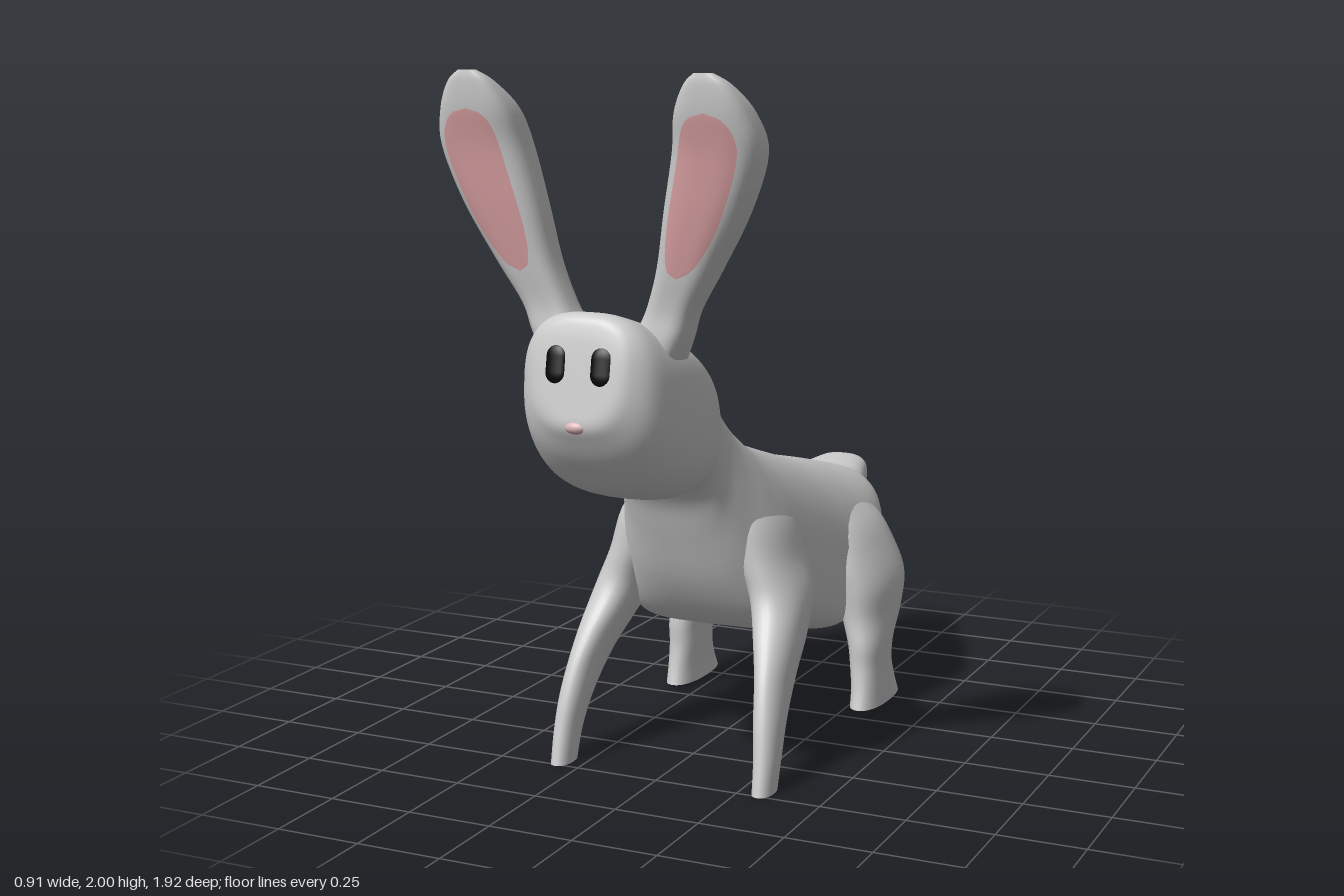
import * as THREE from 'three';

const grey = new THREE.MeshStandardMaterial({ color: 0xcccccc });
const pink = new THREE.MeshStandardMaterial({ color: 0xd9a0a2, side: THREE.DoubleSide });
const nosePink = new THREE.MeshStandardMaterial({ color: 0xd8b4b4 });
const black = new THREE.MeshStandardMaterial({ color: 0x050505 });

// Smooth interpolation between cross-section rows, t from 0 to 1
function rowAt(rows, t) {
  const f = t * (rows.length - 1), i = Math.min(Math.floor(f), rows.length - 2), u = f - i;
  const at = k => rows[Math.max(0, Math.min(rows.length - 1, k))];
  return rows[0].map((_, k) => {
    const a = at(i - 1)[k], b = at(i)[k], c = at(i + 1)[k], d = at(i + 2)[k];
    return b + 0.5 * u * (c - a + u * (2 * a - 5 * b + 4 * c - d + u * (3 * (b - c) + d - a)));
  });
}

const power = (v, n) => Math.sign(v) * Math.abs(v) ** (2 / n);

// Skin closed rings; place(row, cos, sin) puts a ring point in space
function loft(rows, place, sides = 40, steps = 5) {
  const count = (rows.length - 1) * steps, pos = [], idx = [];
  const ring = t => {
    const row = rowAt(rows, t);
    for (let j = 0; j < sides; j++) {
      const a = (j / sides) * Math.PI * 2;
      pos.push(...place(row, Math.cos(a), Math.sin(a)));
    }
    return row;
  };
  for (let i = 0; i <= count; i++) ring(i / count);
  for (let i = 0; i < count; i++) for (let j = 0; j < sides; j++) {
    const a = i * sides + j, b = i * sides + (j + 1) % sides;
    idx.push(a, b, a + sides, b, b + sides, a + sides);
  }
  // End caps
  for (const t of [0, 1]) {
    const start = pos.length / 3, row = ring(t);
    pos.push(...place(row, 0, 0));
    for (let j = 0; j < sides; j++) {
      const a = start + j, b = start + (j + 1) % sides;
      idx.push(start + sides, t ? a : b, t ? b : a);
    }
  }
  return finish(pos, idx);
}

function finish(pos, idx) {
  const g = new THREE.BufferGeometry();
  g.setAttribute('position', new THREE.Float32BufferAttribute(pos, 3));
  g.setIndex(idx);
  g.computeVertexNormals();
  return g;
}

// Body rows: z, bottom y, top y, half width, face slant
const bodyRows = [
  [-0.95, 0.605, 0.66, 0.055, 0], [-0.93, 0.57, 0.685, 0.085, 0],
  [-0.85, 0.55, 0.685, 0.11, 0], [-0.77, 0.53, 0.68, 0.14, 0],
  [-0.72, 0.47, 0.69, 0.18, 0], [-0.67, 0.39, 0.705, 0.235, 0],
  [-0.58, 0.31, 0.73, 0.265, 0], [-0.4, 0.26, 0.775, 0.27, 0],
  [-0.25, 0.27, 0.81, 0.27, 0], [0, 0.345, 0.885, 0.27, 0],
  [0.12, 0.365, 0.925, 0.265, 0], [0.21, 0.41, 0.97, 0.24, 0],
  [0.3, 0.53, 1.04, 0.195, 0], [0.37, 0.68, 1.12, 0.165, 0],
  [0.42, 0.79, 1.18, 0.17, 0], [0.48, 0.845, 1.235, 0.19, 0],
  [0.58, 0.84, 1.29, 0.215, 0], [0.7, 0.865, 1.34, 0.222, 0],
  [0.81, 0.91, 1.375, 0.21, 0], [0.88, 0.99, 1.388, 0.188, -0.06],
  [0.92, 1.06, 1.378, 0.15, -0.12], [0.937, 1.1, 1.345, 0.11, -0.17],
  [0.941, 1.14, 1.29, 0.05, -0.17],
];
// The trunk has a squarer belly and a narrower back than the head and tail
function placeBody([z, lo, hi, w, slant], c, s) {
  const trunk = Math.exp(-(((z + 0.2) / 0.45) ** 4));
  const n = s < 0 ? 2.7 + 3.3 * trunk : 2.7, v = power(s, n), h = (hi - lo) / 2;
  const narrowing = 1 - 0.25 * trunk * Math.max(0, v);
  return [power(c, n) * w * narrowing, (lo + hi) / 2 + v * h, z + slant * v * h];
}

// Limb rows: y, x, z, half width, half depth; the upper rows sink into the body
const frontLegRows = [
  [0.005, 0.317, 0.458, 0.03, 0.055], [0.1, 0.315, 0.432, 0.034, 0.06],
  [0.2, 0.306, 0.392, 0.04, 0.076], [0.3, 0.293, 0.325, 0.046, 0.105],
  [0.39, 0.275, 0.25, 0.06, 0.13], [0.5, 0.245, 0.17, 0.077, 0.14],
  [0.6, 0.205, 0.15, 0.08, 0.15], [0.72, 0.165, 0.145, 0.083, 0.155],
  [0.84, 0.1, 0.145, 0.07, 0.14],
];
const backLegRows = [
  [0.025, 0.315, -0.41, 0.052, 0.15], [0.08, 0.314, -0.4, 0.05, 0.127],
  [0.15, 0.31, -0.39, 0.052, 0.108], [0.22, 0.307, -0.395, 0.058, 0.115],
  [0.3, 0.292, -0.44, 0.073, 0.155], [0.4, 0.28, -0.46, 0.083, 0.185],
  [0.5, 0.24, -0.46, 0.083, 0.19], [0.59, 0.19, -0.46, 0.078, 0.175],
  [0.69, 0.1, -0.46, 0.06, 0.13],
];
const earRows = [
  [1.2, 0.12, 0.72, 0.05, 0.085], [1.31, 0.15, 0.735, 0.072, 0.072],
  [1.39, 0.183, 0.742, 0.069, 0.062],
  [1.5, 0.235, 0.755, 0.083, 0.07], [1.65, 0.292, 0.772, 0.11, 0.08],
  [1.8, 0.335, 0.79, 0.12, 0.085], [1.9, 0.337, 0.825, 0.102, 0.072],
  [1.97, 0.337, 0.868, 0.063, 0.036], [2.0, 0.335, 0.89, 0.025, 0.012],
];
const placeLimb = (side, n) => ([y, x, z, w, d], c, s) =>
  [side * x + power(c, n) * w, y, z - power(s, n) * d];

// Pink patch following the front surface of an ear
function innerEar(side) {
  const rows = 28, cols = 14, pos = [], idx = [];
  for (let i = 0; i <= rows; i++) {
    const k = i / rows, [y, x, z, w, d] = rowAt(earRows, 0.354 + 0.4 * k);
    const span = 0.68 * Math.max(0, 1 - Math.abs(2 * k - 1) ** 4) ** 0.5;
    for (let j = 0; j <= cols; j++) {
      const s = span * (j / cols * 2 - 1);
      pos.push(side * x + s * w, y, z + d * (1 - Math.abs(s) ** 3) ** (1 / 3) + 0.004);
    }
  }
  for (let i = 0; i < rows; i++) for (let j = 0; j < cols; j++) {
    const a = i * (cols + 1) + j, b = a + cols + 1;
    idx.push(a, a + 1, b, a + 1, b + 1, b);
  }
  return finish(pos, idx);
}

export function createModel() {
  const model = new THREE.Group();
  const add = (name, geometry, material = grey) => {
    const mesh = new THREE.Mesh(geometry, material);
    mesh.name = name;
    model.add(mesh);
    return mesh;
  };

  add('bodyHeadAndTail', loft(bodyRows, placeBody, 64));

  for (const [label, side] of [['left', 1], ['right', -1]]) {
    add(label + 'FrontLeg', loft(frontLegRows, placeLimb(side, 2.2)));
    add(label + 'BackLeg', loft(backLegRows, placeLimb(side, 2.3)));
    add(label + 'Ear', loft(earRows, placeLimb(side, 3)));
    add(label + 'InnerEar', innerEar(side), pink);

    // Upright oval eye lying on the slanted face
    const eye = add(label + 'Eye', new THREE.CapsuleGeometry(0.032, 0.042, 8, 24), black);
    eye.scale.z = 0.4;
    eye.position.set(side * 0.068, 1.257, 0.927);
    eye.rotation.set(-0.18, side * 0.12, 0);
  }

  const nose = add('nose', new THREE.SphereGeometry(1, 24, 16), nosePink);
  nose.scale.set(0.036, 0.02, 0.026);
  nose.position.set(0, 1.1, 0.94);
  return model;
}
